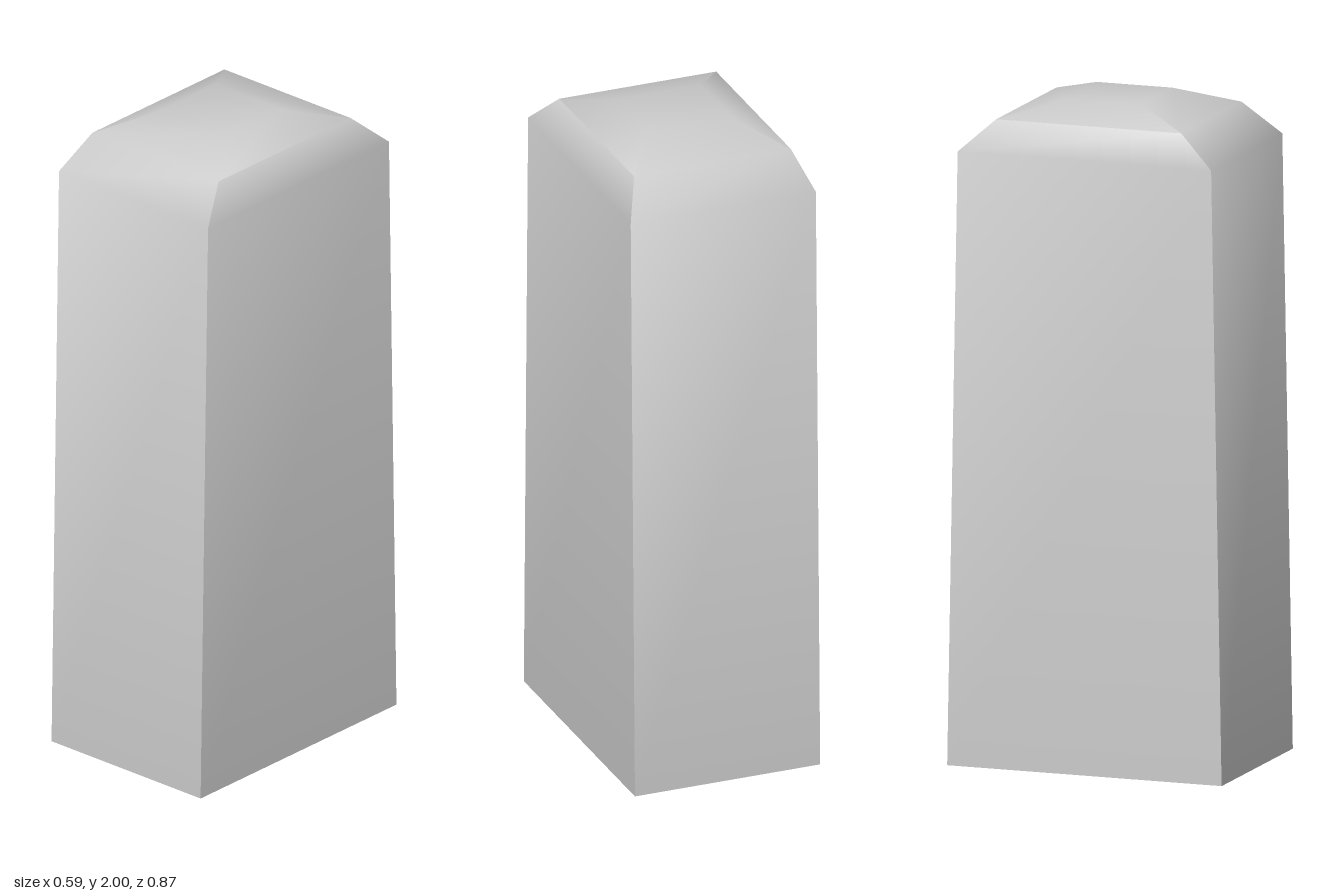
import * as THREE from 'three';
import { toCreasedNormals } from 'three/addons/utils/BufferGeometryUtils.js';

// Rectangular cross-sections from the base up: [y, minX, maxX, halfDepth]
const SECTIONS = [
  [0, -0.295, 0.295, 0.433],
  [1.85, -0.295, 0.295, 0.4],
  [1.948, -0.26, 0.24, 0.292],
  [2, -0.14, 0.122, 0.12],
];

export function createModel() {
  const positions = [];
  const indices = [];

  // Corners of each section, counter-clockwise seen from above
  for (const [y, x0, x1, z] of SECTIONS) {
    positions.push(x0, y, z, x1, y, z, x1, y, -z, x0, y, -z);
  }

  // Tapered walls and sloped shoulders
  for (let level = 0; level < SECTIONS.length - 1; level++) {
    for (let side = 0; side < 4; side++) {
      const a = level * 4 + side;
      const b = level * 4 + ((side + 1) % 4);
      indices.push(a, b, b + 4, a, b + 4, a + 4);
    }
  }

  // Flat top; the base stays open
  const t = (SECTIONS.length - 1) * 4;
  indices.push(t, t + 1, t + 2, t, t + 2, t + 3);

  const geometry = new THREE.BufferGeometry();
  geometry.setAttribute('position', new THREE.Float32BufferAttribute(positions, 3));
  geometry.setIndex(indices);

  // Shoulders blend smoothly, vertical corners stay sharp
  const shell = new THREE.Mesh(
    toCreasedNormals(geometry, THREE.MathUtils.degToRad(52)),
    new THREE.MeshStandardMaterial({ color: 0xcccccc, side: THREE.DoubleSide })
  );
  shell.name = 'pillarShell';

  const group = new THREE.Group();
  group.name = 'pillar';
  group.add(shell);
  return group;
}
